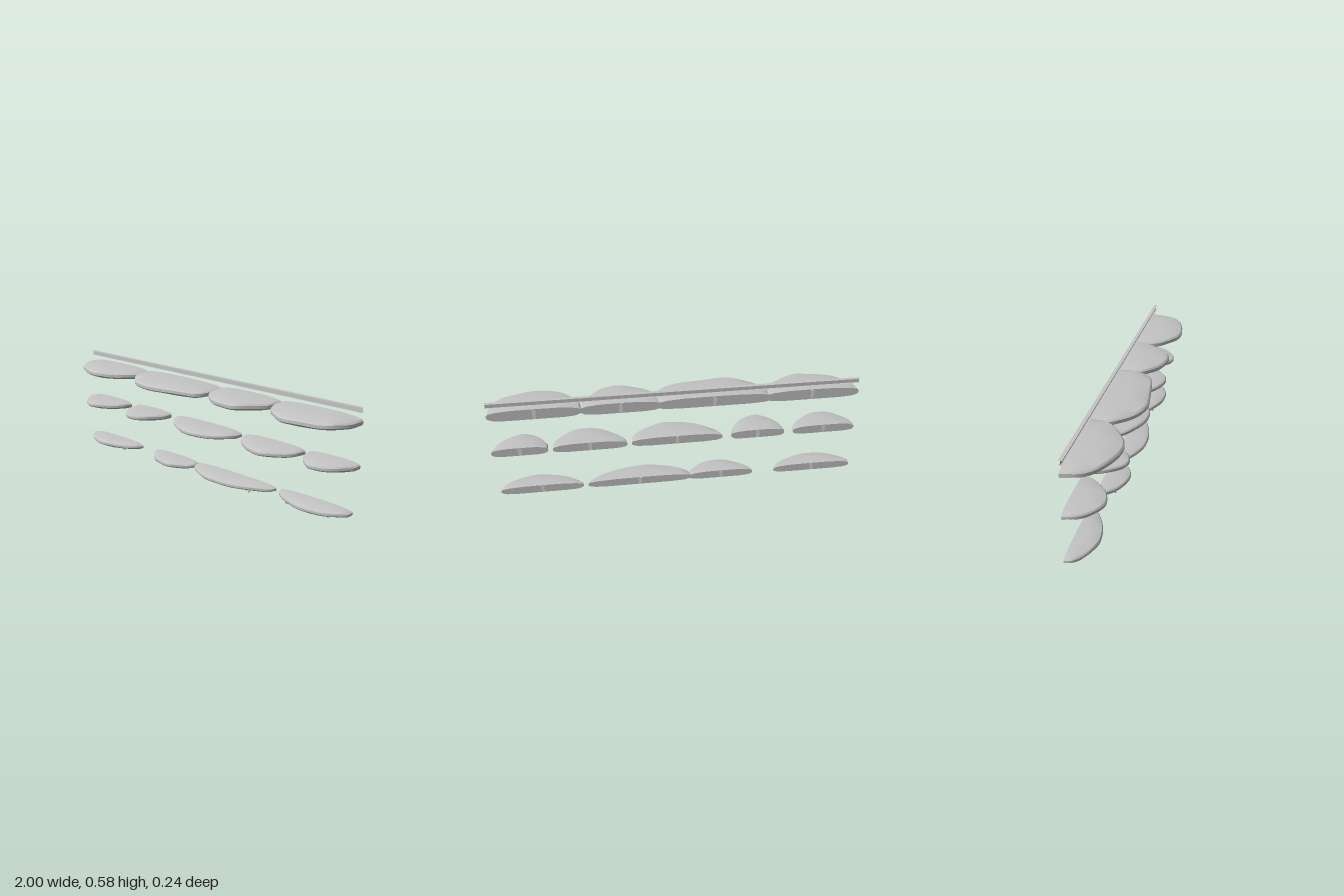
import * as THREE from 'three';
import { toCreasedNormals } from 'three/addons/utils/BufferGeometryUtils.js';

const BACK = -0.12;
const stone = new THREE.MeshStandardMaterial({ color: 0xc4c4c4 });
stone.name = 'light grey';
const ribbon = new THREE.MeshStandardMaterial({ color: 0xc4c4c4, side: THREE.DoubleSide });
ribbon.name = 'rail grey';
const pale = new THREE.MeshStandardMaterial({ color: 0xdedede });
pale.name = 'pale grey';

// Section through a slab: [scale of the outline, share of the height]
const SECTION = [[0.6, 0], [0.86, 0.07], [0.97, 0.22], [1, 0.34], [1, 0.6], [0.965, 0.74], [0.82, 0.88], [0.5, 0.98]];

// Front outline shared by the smaller slabs: [share of width, share of depth]
const LOBE = [[0, 0], [0.015, 0.3], [0.12, 0.64], [0.3, 0.93], [0.44, 1], [0.64, 0.9], [0.85, 0.58], [0.97, 0.24], [1, 0]];

// Half-round slab with a flat back, lofted from scaled copies of its outline
function slabGeometry(outline, y0, y1) {
  const curve = new THREE.CatmullRomCurve3(
    outline.map(([x, z]) => new THREE.Vector3(x, 0, z)), false, 'centripetal');
  const ring = curve.getPoints(28);
  const n = ring.length;
  const cx = (outline[0][0] + outline[outline.length - 1][0]) / 2;
  const h = y1 - y0;
  const pos = [], idx = [];
  SECTION.forEach(([s, t]) => ring.forEach((p, i) => {
    const wave = t > 0.1 && t < 0.8 ? Math.sin(i * 0.9 + cx * 9) * 0.03 : 0;
    pos.push(cx + (p.x - cx) * s, y0 + h * (t + wave), BACK + (p.z - BACK) * s);
  }));
  for (let k = 0; k < SECTION.length - 1; k++) {
    for (let i = 0; i < n; i++) {
      const a = k * n + i, b = k * n + (i + 1) % n;
      idx.push(a, b, b + n, a, b + n, a + n);
    }
  }
  const bottom = pos.length / 3, top = bottom + 1, last = (SECTION.length - 1) * n;
  pos.push(cx, y0, BACK, cx, y1, BACK);
  for (let i = 0; i < n - 1; i++) {
    idx.push(bottom, i + 1, i, top, last + i, last + i + 1);
  }
  idx.push(top, last + n - 1, last);
  const g = new THREE.BufferGeometry();
  g.setAttribute('position', new THREE.Float32BufferAttribute(pos, 3));
  g.setIndex(idx);
  return toCreasedNormals(g, 0.5);
}

function addSlab(parent, name, outline, y0, y1) {
  const slab = new THREE.Group();
  slab.name = name;
  const body = new THREE.Mesh(slabGeometry(outline, y0, y1), stone);
  body.name = 'slabBody';
  // Narrow upright strip at the middle of the back
  const strip = new THREE.Mesh(new THREE.BoxGeometry(0.018, (y1 - y0) * 0.94, 0.002), pale);
  strip.name = 'backStrip';
  strip.position.set((outline[0][0] + outline[outline.length - 1][0]) / 2, (y0 + y1) / 2, BACK);
  slab.add(body, strip);
  parent.add(slab);
  return slab;
}

const lobe = (x0, x1, front, flip) => {
  const pts = LOBE.map(([u, v]) => [u, v]);
  const side = flip ? pts.reverse().map(([u, v]) => [1 - u, v]) : pts;
  return side.map(([u, v]) => [x0 + (x1 - x0) * u, BACK + (front - BACK) * v]);
};

// Slender rib lying under a slab between two points
function addRib(parent, from, to) {
  const a = new THREE.Vector3(...from), b = new THREE.Vector3(...to);
  const rib = new THREE.Mesh(new THREE.BoxGeometry(0.009, 0.008, a.distanceTo(b)), stone);
  rib.name = 'underRib';
  rib.position.copy(a).add(b).multiplyScalar(0.5);
  rib.lookAt(b);
  parent.add(rib);
}

export function createModel() {
  const model = new THREE.Group();
  model.name = 'tieredLedges';

  // Top rail: open ribbons forming a long I-shaped channel
  const rail = new THREE.Group();
  rail.name = 'topRail';
  for (const y of [0.56, 0.585]) {
    const flange = new THREE.Mesh(new THREE.PlaneGeometry(2, 0.02), ribbon);
    flange.name = 'railFlange';
    flange.rotation.x = -Math.PI / 2;
    flange.position.set(0, y, -0.11);
    rail.add(flange);
  }
  const web = new THREE.Mesh(new THREE.PlaneGeometry(2, 0.025), ribbon);
  web.name = 'railWeb';
  web.position.set(0, 0.5725, -0.11);
  rail.add(web);
  model.add(rail);

  // Upper tier: four wide overlapping slabs
  const upper = new THREE.Group();
  upper.name = 'upperTier';
  [
    [[-1, BACK], [-0.985, -0.04], [-0.93, 0.03], [-0.85, 0.075], [-0.73, 0.103], [-0.66, 0.092], [-0.57, 0.04], [-0.5, -0.03], [-0.48, BACK]],
    [[-0.52, BACK], [-0.5, -0.03], [-0.44, 0.04], [-0.36, 0.1], [-0.28, 0.12], [-0.15, 0.105], [0, 0.08], [0.07, 0.05], [0.105, -0.03], [0.115, BACK]],
    [[0.09, BACK], [0.1, -0.02], [0.16, 0.05], [0.24, 0.095], [0.32, 0.11], [0.38, 0.095], [0.45, 0.03], [0.5, -0.04], [0.515, BACK]],
    [[0.51, BACK], [0.52, -0.03], [0.58, 0.05], [0.66, 0.1], [0.74, 0.11], [0.85, 0.09], [0.93, 0.055], [0.985, -0.02], [1, BACK]],
  ].forEach((outline) => addSlab(upper, 'upperSlab', outline, 0.48, 0.54));
  model.add(upper);

  // Middle tier: five separate slabs
  const middle = new THREE.Group();
  middle.name = 'middleTier';
  [
    [-1, -0.65, 0.05, false], [-0.6, -0.3, 0.068, false], [-0.25, 0.25, 0.06, true],
    [0.275, 0.675, 0.06, true], [0.7, 1, 0.045, false],
  ].forEach(([x0, x1, front, flip]) => addSlab(middle, 'middleSlab', lobe(x0, x1, front, flip), 0.26, 0.308));
  model.add(middle);

  // Lower tier: four shallow slabs with fanned ribs underneath
  const lower = new THREE.Group();
  lower.name = 'lowerTier';
  [
    [-1, -0.555, 0.005, false], [-0.43, -0.07, 0.012, true],
    [-0.08, 0.5, 0.018, false], [0.525, 0.975, 0.005, true],
  ].forEach(([x0, x1, front, flip]) => {
    const slab = addSlab(lower, 'lowerSlab', lobe(x0, x1, front, flip), 0.01, 0.055);
    const cx = (x0 + x1) / 2, w = x1 - x0;
    for (const u of [-0.3, -0.1, 0.1, 0.3]) {
      addRib(slab, [cx + u * w * 0.35, 0.005, -0.105], [cx + u * w, 0.012, front - 0.025 - Math.abs(u) * 0.08]);
    }
  });
  model.add(lower);

  return model;
}
